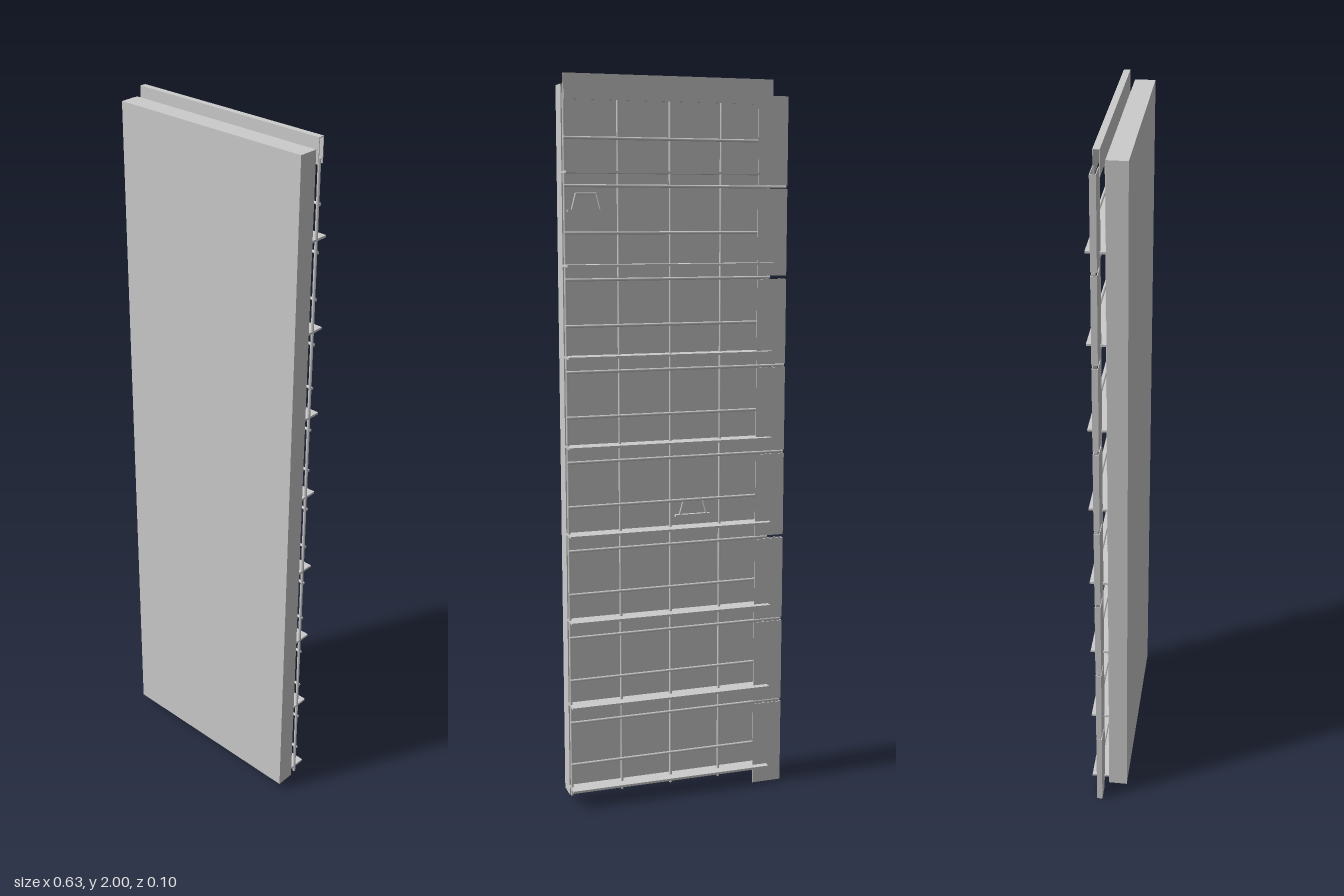
import * as THREE from 'three';

const material = new THREE.MeshStandardMaterial({ color: 0xcccccc, side: THREE.DoubleSide });

// Box given by its minimum and maximum on each axis
function box(parent, name, [x0, x1], [y0, y1], [z0, z1]) {
  const mesh = new THREE.Mesh(new THREE.BoxGeometry(x1 - x0, y1 - y0, z1 - z0), material);
  mesh.position.set((x0 + x1) / 2, (y0 + y1) / 2, (z0 + z1) / 2);
  mesh.name = name;
  parent.add(mesh);
  return mesh;
}

// Round bar between two points
function rod(parent, name, a, b, radius) {
  const from = new THREE.Vector3(...a), to = new THREE.Vector3(...b);
  const dir = to.clone().sub(from);
  const mesh = new THREE.Mesh(new THREE.CylinderGeometry(radius, radius, dir.length(), 8), material);
  mesh.position.copy(from).add(to).multiplyScalar(0.5);
  mesh.quaternion.setFromUnitVectors(new THREE.Vector3(0, 1, 0), dir.normalize());
  mesh.name = name;
  parent.add(mesh);
}

function group(parent, name) {
  const g = new THREE.Group();
  g.name = name;
  parent.add(g);
  return g;
}

export function createModel() {
  const model = new THREE.Group();
  model.name = 'wallPanel';
  const pitch = 0.245;
  const t = 0.002; // sheet thickness

  // Front slab
  box(model, 'slab', [-0.27, 0.314], [0.025, 1.975], [-0.003, 0.05]);

  // Thin horizontal fins standing out of the back
  const fins = group(model, 'fins');
  for (let i = 0; i < 8; i++) {
    const y = 0.051 + i * 0.2427;
    box(fins, 'fin', [-0.27, 0.314], [y - 0.003, y + 0.003], [-0.053, -0.003]);
  }

  // Open mesh behind the slab
  const mesh = group(model, 'mesh');
  for (const x of [-0.265, -0.125, 0.02, 0.165, 0.311]) {
    rod(mesh, 'verticalWire', [x, 0.03, -0.02], [x, 1.95, -0.02], 0.004);
  }
  for (let i = 1; i < 16; i++) {
    const y = i * pitch / 2;
    const reaches = i % 2 === 0 && i !== 6 && i !== 12;
    rod(mesh, 'horizontalWire', [reaches ? -0.313 : -0.268, y, -0.026], [0.314, y, -0.026], 0.004);
  }

  // Side channel: folded sheet in eight lengths, wide leaf at the back
  const side = group(model, 'sideChannel');
  for (let i = 0; i < 8; i++) {
    const y = [i * pitch + (i ? 0.005 : 0), i < 7 ? (i + 1) * pitch - 0.005 : 1.957];
    box(side, 'backLeaf', [-0.314, -0.228], y, [-0.034, -0.034 + t]);
    box(side, 'frontLeaf', [-0.314, -0.265], y, [-0.018 - t, -0.018]);
    box(side, 'fold', [-0.314, -0.314 + t], y, [-0.034, -0.018]);
  }

  // Top channel: sheet folded over the upper edge
  const top = group(model, 'topChannel');
  box(top, 'backLeaf', [-0.27, 0.312], [1.935, 2], [-0.032, -0.032 + t]);
  box(top, 'frontLeaf', [-0.27, 0.312], [1.935, 2], [-0.015 - t, -0.015]);
  box(top, 'fold', [-0.27, 0.312], [2 - t, 2], [-0.032, -0.015]);

  // Lifting loops on the back of the slab
  for (const [x, y] of [[0.25, 1.65], [-0.05, 0.81]]) {
    const loop = group(model, 'liftingLoop');
    const z = -0.011, r = 0.003;
    const points = [[-0.04, 0], [-0.028, 0.045], [0.028, 0.045], [0.04, 0]];
    for (let i = 0; i < 3; i++) {
      rod(loop, 'loopBar', [...points[i], z], [...points[i + 1], z], r);
    }
    rod(loop, 'footBar', [-0.052, 0, z], [0.052, 0, z], r);
    box(loop, 'footPlate', [-0.052, 0.052], [-0.003, 0.003], [-0.014, -0.003]);
    loop.position.set(x, y, 0);
  }
  return model;
}
